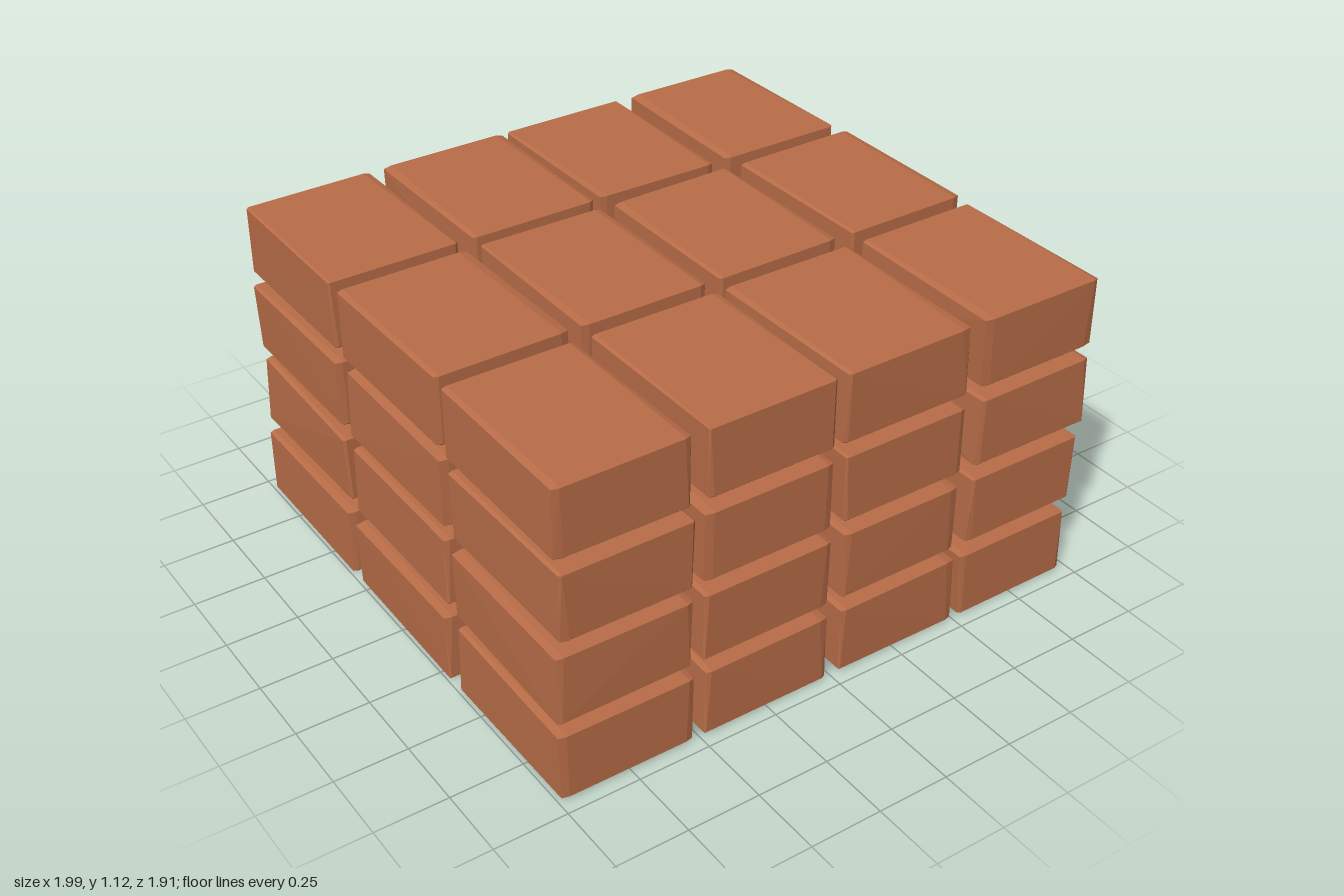
import * as THREE from 'three';
import { ConvexGeometry } from 'three/addons/geometries/ConvexGeometry.js';

const BRICK_HEIGHT = 0.247, BRICK_DEPTH = 0.6;

// Left and right ends of the bricks that face the front, bottom course first
const FRONT_ENDS = [
  [-0.99, -0.52, -0.48, -0.02, 0.03, 0.49, 0.52, 0.965],
  [-0.99, -0.53, -0.485, -0.02, 0.025, 0.475, 0.53, 0.975],
  [-0.98, -0.525, -0.49, -0.03, 0.02, 0.475, 0.54, 0.99],
  [-0.99, -0.54, -0.48, -0.03, 0.0, 0.475, 0.53, 0.985],
];
const COLUMN_CENTRES = [-0.758, -0.255, 0.249, 0.758];

function seeded(seed) {
  let s = seed;
  return () => (s = (s * 16807) % 2147483647) / 2147483647;
}

// Hand-made brick: a block whose eight corners are cut unevenly
function brickGeometry(width, rand) {
  const points = [];
  const edge = 0.006;
  for (const sx of [-1, 1]) for (const sy of [-1, 1]) for (const sz of [-1, 1]) {
    const cut = 0.004 + 0.028 * rand();
    const x = width / 2 - 0.012 * rand();
    const y = BRICK_HEIGHT / 2 - 0.003 * rand();
    const z = BRICK_DEPTH / 2 - 0.004 * rand();
    points.push(
      new THREE.Vector3(sx * x, sy * (y - edge), sz * (z - edge)),
      new THREE.Vector3(sx * (x - cut), sy * y, sz * (z - edge)),
      new THREE.Vector3(sx * (x - cut), sy * (y - edge), sz * z),
    );
  }
  return new ConvexGeometry(points);
}

export function createModel() {
  const model = new THREE.Group();
  model.name = 'brickStack';
  const clay = new THREE.MeshStandardMaterial({ color: 0xb96d48 });
  clay.name = 'clay';
  const rand = seeded(4711);

  // Four courses, each three bricks deep and four wide
  for (let course = 0; course < 4; course++) {
    const layer = new THREE.Group();
    layer.name = `course${course + 1}`;
    layer.position.y = BRICK_HEIGHT / 2 + 0.004 + course * 0.2905;
    for (let row = 0; row < 3; row++) {
      for (let col = 0; col < 4; col++) {
        let centre = COLUMN_CENTRES[col] + (rand() - 0.5) * 0.018;
        let width = 0.466;
        if (row === 2) {
          const [x0, x1] = FRONT_ENDS[course].slice(col * 2, col * 2 + 2);
          centre = (x0 + x1) / 2;
          width = x1 - x0 + 0.01;
        }
        const brick = new THREE.Mesh(brickGeometry(width, rand), clay);
        brick.name = 'brick';
        brick.position.set(centre, 0, (row - 1) * 0.653);
        layer.add(brick);
      }
    }
    model.add(layer);
  }
  return model;
}
